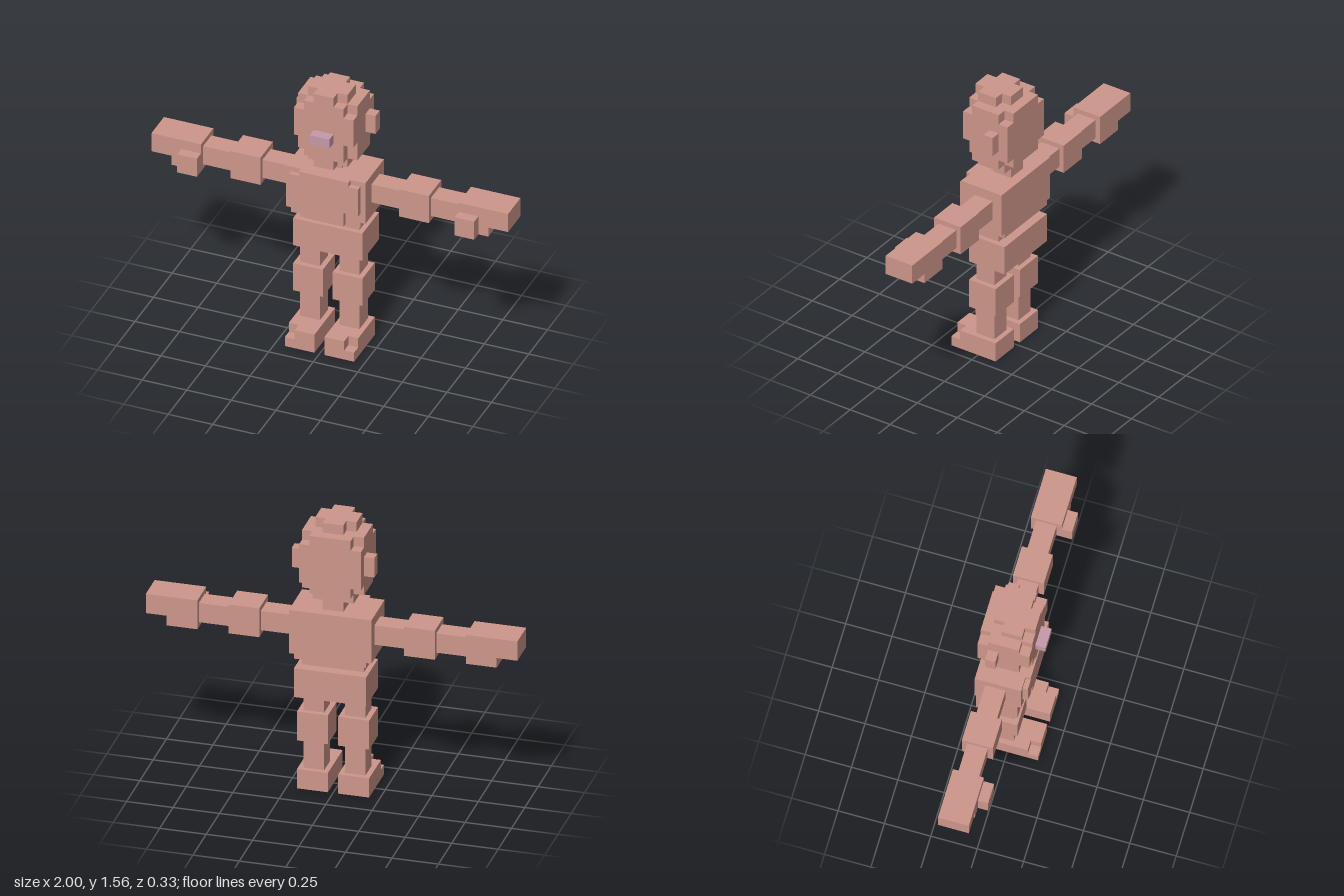
import * as THREE from 'three';

const U = 1 / 18; // one block

export function createModel() {
  const model = new THREE.Group();
  model.name = 'blockFigure';
  const skin = new THREE.MeshStandardMaterial({ color: 0xcd968a });
  skin.name = 'skin';
  const pink = new THREE.MeshStandardMaterial({ color: 0xc699aa });
  pink.name = 'nosePink';

  // Box given by its limits in blocks
  function block(parent, name, x0, x1, y0, y1, z0, z1, material = skin) {
    const geometry = new THREE.BoxGeometry((x1 - x0) * U, (y1 - y0) * U, (z1 - z0) * U);
    const mesh = new THREE.Mesh(geometry, material);
    mesh.position.set((x0 + x1) / 2 * U, (y0 + y1) / 2 * U, (z0 + z1) / 2 * U);
    mesh.name = name;
    parent.add(mesh);
  }
  function part(name) {
    const group = new THREE.Group();
    group.name = name;
    model.add(group);
    return group;
  }

  // Head: centred slabs [half width, y0, y1, z0, z1] with stepped corners
  const head = part('head');
  [
    [2, 20, 21, -2, 1], [1, 20, 21, 1, 2],
    [3, 21, 22, -2, 1], [2, 21, 22, -3, -2],
    [3, 22, 23, -3, 1], [2, 21, 23, 1, 2],
    [3, 23, 26, -3, 2],
    [3, 26, 27, -2, 1], [2, 26, 27, -3, -2], [2, 26, 27, 1, 2],
    [2, 27, 28, -1, 1], [1, 27, 28, -2, -1], [1, 27, 28, 1, 2],
  ].forEach(([w, ...r]) => block(head, 'headSlab', -w, w, ...r));
  block(head, 'nose', -1, 1, 23, 24, 2, 3, pink);
  block(model, 'neck', -1, 1, 19, 20, -2, 0);

  // Torso with a raised chest plate
  const torso = part('torso');
  block(torso, 'ribcage', -4, 4, 14.5, 19, -3, 1.5);
  block(torso, 'ribcageBase', -3.5, 3.5, 14, 14.5, -3, 1.5);
  block(torso, 'chest', -3.5, 3.5, 15.5, 18.5, 1.5, 2);
  block(torso, 'chestTop', -2.5, 2.5, 18.5, 19, 1.5, 2);
  block(torso, 'belly', -2, 2, 14, 15.5, 1.5, 2);
  block(model, 'waist', -3, 3, 13, 14, -2, 0.5);
  block(model, 'hips', -3.5, 3.5, 10, 13, -3, 1);

  // Mirrored ears, arms and legs
  for (const s of [1, -1]) {
    const side = s > 0 ? 'left' : 'right';
    const pair = (parent, name, a, b, ...r) =>
      block(parent, side + name, Math.min(s * a, s * b), Math.max(s * a, s * b), ...r);
    pair(head, 'Ear', 3, 4, 23, 25, -2, -1);

    const arm = part(side + 'Arm');
    pair(arm, 'UpperArm', 4, 7, 16, 18, -2, 0);
    pair(arm, 'Elbow', 7, 10, 15.5, 18.5, -2.5, 0.5);
    pair(arm, 'Forearm', 10, 13, 16, 18, -2, 0);
    pair(arm, 'Hand', 13, 18, 16.5, 18.5, -2.5, 0.5);
    pair(arm, 'Palm', 13, 16, 15.5, 16.5, -2.5, 0.5);
    pair(arm, 'Thumb', 13, 15, 15.5, 17.5, 0.5, 1.5);

    const leg = part(side + 'Leg');
    pair(leg, 'Thigh', 1, 3, 8, 10, -1.5, 0.5);
    pair(leg, 'Knee', 0.5, 3.5, 5, 8, -2, 1);
    pair(leg, 'Shin', 1, 3, 2, 5, -1.5, 0.5);
    pair(leg, 'Foot', 0.5, 3.5, 0, 2, -2, 2);
    pair(leg, 'ToeBase', 0.5, 3.5, 0, 1, 2, 3);
    pair(leg, 'BigToe', 0.5, 2.5, 1, 2, 2, 3);
  }
  return model;
}
